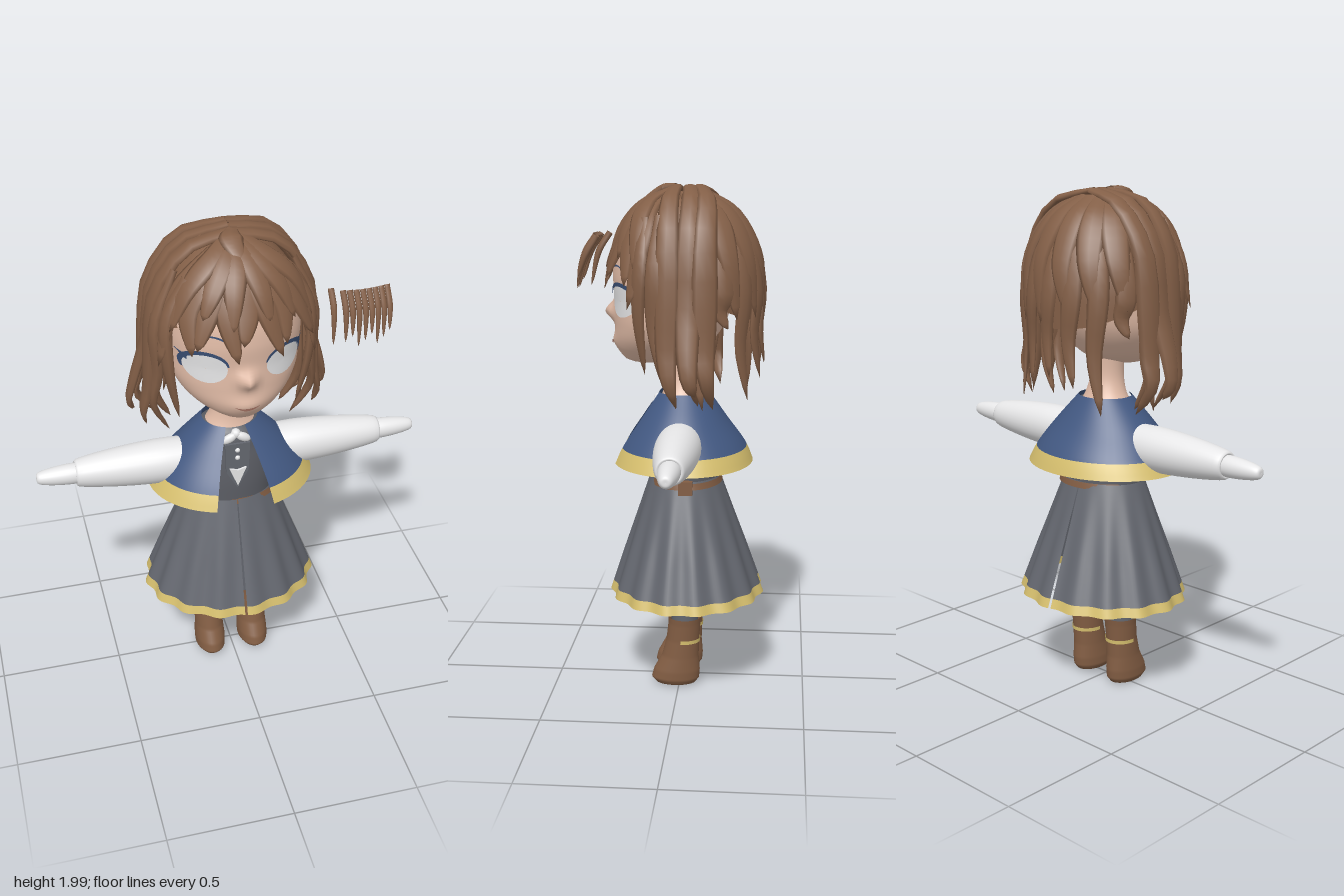
import * as THREE from 'three';
import { mergeVertices } from 'three/addons/utils/BufferGeometryUtils.js';
import { ParametricGeometry } from 'three/addons/geometries/ParametricGeometry.js';

const mat = (name, color, double = false) => {
  const m = new THREE.MeshStandardMaterial({ color, side: double ? THREE.DoubleSide : THREE.FrontSide });
  m.name = name;
  return m;
};
const V = (x, y, z) => new THREE.Vector3(x, y, z);

// Smooth grid surface, u x v pointing outward; seams are welded
function surface(fn, nu, nv) {
  let g = new ParametricGeometry((u, v, p) => p.copy(fn(u, v)), nu, nv);
  g.deleteAttribute('uv');
  g.deleteAttribute('normal');
  g = mergeVertices(g, 1e-5);
  g.computeVertexNormals();
  return g;
}

// Elliptical cross-sections [y, half width, front z, back z] blended into a body
function body(rows, smooth = true) {
  const Interp = smooth ? THREE.CubicInterpolant : THREE.LinearInterpolant;
  const it = new Interp(rows.map(r => r[0]), rows.flatMap(r => r.slice(1)), 3);
  const at = y => {
    const [rx, zf, zb] = it.evaluate(y);
    return { rx: Math.max(rx, 0), c: (zf + zb) / 2, rz: (zf - zb) / 2 };
  };
  const y0 = rows[0][0], y1 = rows[rows.length - 1][0];
  return {
    y0, y1,
    point(a, y, cx = 0, k = 1) {
      const s = at(y);
      return V(cx + s.rx * k * Math.sin(a), y, s.c + s.rz * k * Math.cos(a));
    },
    frontZ(x, y) {
      const s = at(y);
      return s.c + s.rz * Math.sqrt(Math.max(0, 1 - (x / s.rx) ** 2));
    },
    geometry({ a0 = 0, a1 = Math.PI * 2, from = y0, to = y1, cx = 0, nu = 36, nv = 16, pleat = () => 1 } = {}) {
      return surface((u, v) => {
        const a = a0 + (a1 - a0) * u, y = from + (to - from) * v;
        return this.point(a, y, cx, pleat(a, y));
      }, nu, nv);
    },
  };
}

// Tapered flat strand of hair following a few points; root is the width at its start
function lock(points, width, thick, root) {
  const curve = new THREE.CatmullRomCurve3(points);
  return surface((u, v) => {
    const p = curve.getPoint(v), T = curve.getTangent(v);
    const N = p.clone().sub(V(0, Math.min(p.y, 1.6), -0.02)).normalize();
    N.addScaledVector(T, -N.dot(T)).normalize();
    const B = N.clone().cross(T);
    const k = v < 0.45 ? root + (1 - root) * v / 0.45 : Math.sqrt(Math.max(0, 1 - ((v - 0.45) / 0.55) ** 2)) * (1.25 - 0.55 * v);
    const th = u * Math.PI * 2;
    return p.addScaledVector(B, Math.cos(th) * width * k).addScaledVector(N, Math.sin(th) * thick * k);
  }, 8, 14);
}

// Point on the hair dome: angle from the front in degrees, height, lift
function dome(deg, y, off = 0) {
  const a = THREE.MathUtils.degToRad(deg);
  const t = THREE.MathUtils.clamp((y - 1.58) / 0.4, 0, 1), k = Math.sqrt(1 - t * t);
  return V((0.305 + off) * k * Math.sin(a), y + off * t, -0.02 + (0.28 + off) * k * Math.cos(a));
}

export function createModel() {
  const model = new THREE.Group();
  model.name = 'girl';
  const skin = mat('skin', 0xe3bda8), hair = mat('hair brown', 0x835f47, true);
  const white = mat('white cloth', 0xe8e8e9, true), blue = mat('cape blue', 0x425881, true);
  const gold = mat('gold trim', 0xd6bf6e, true), grey = mat('skirt grey', 0x64676f, true);
  const dark = mat('bodice grey', 0x5d5f66, true), leather = mat('leather', 0x825d43, true);
  const lash = mat('lash blue', 0x3a4f74, true), lip = mat('lip', 0xa87565, true);
  const add = (name, geo, m, parent = model) => {
    const mesh = new THREE.Mesh(geo, m);
    mesh.name = name;
    parent.add(mesh);
    return mesh;
  };
  const TAU = Math.PI * 2;

  // Head with a small pointed nose
  const head = body([
    [1.3, 0.005, 0.14, 0.12], [1.312, 0.07, 0.2, 0.02], [1.34, 0.13, 0.235, -0.06], [1.39, 0.19, 0.255, -0.12],
    [1.46, 0.235, 0.257, -0.17], [1.55, 0.25, 0.257, -0.2], [1.65, 0.255, 0.265, -0.22], [1.75, 0.24, 0.25, -0.21],
    [1.85, 0.19, 0.19, -0.17], [1.92, 0.1, 0.1, -0.1], [1.94, 0.005, 0.01, 0]]);
  add('head', surface((u, v) => {
    const p = head.point(u * TAU, head.y0 + (head.y1 - head.y0) * v);
    if (p.z > 0) p.z += 0.042 * Math.exp(-((p.x / 0.03) ** 2) - ((p.y - 1.505) / 0.035) ** 2)
      + 0.012 * Math.exp(-((p.x / 0.06) ** 2) - ((p.y - 1.39) / 0.03) ** 2);
    return p;
  }, 64, 60), skin);
  add('neck', body([[1.15, 0.115, 0.085, -0.1], [1.2, 0.085, 0.07, -0.08], [1.26, 0.068, 0.065, -0.065], [1.4, 0.075, 0.07, -0.07]])
    .geometry(), skin);

  // Face details laid on the head surface
  const onFace = (name, fn, lift, m, nu = 20, nv = 4) => add(name, surface((u, v) => {
    const [x, y] = fn(u, v);
    return V(x, y, head.frontZ(x, y) + lift);
  }, nu, nv), m);
  for (const s of [1, -1]) {
    const ring = (a, r, rx, ry) => [s * (0.145 + r * rx * Math.cos(a)), 1.555 + r * ry * Math.sin(a)];
    onFace('eye', (u, v) => ring(u * TAU, Math.max(v, 0.01), 0.073, 0.06), 0.006, white, 28, 5);
    onFace('eyelash', (u, v) => ring(-0.3 + u * 3.2, 0.96 + v * 0.26 * Math.sin(0.35 + u * 2.5), 0.077, 0.06), 0.009, lash);
    onFace('lashFlick', (u, v) => [s * (0.205 + 0.037 * u), 1.575 + 0.03 * u + 0.022 * v * (1 - u)], 0.012, lash, 4, 2);
    onFace('eyebrow', (u, v) => [s * (0.08 + 0.09 * u), 1.672 + 0.015 * Math.sin(u * 3) + 0.009 * v * (1 - u * 0.6)], 0.006, lash);
  }
  onFace('mouth', (u, v) => {
    const x = (u - 0.5) * 0.1;
    return [x, 1.39 + x * x * 4 - 0.011 * v * Math.sin(u * Math.PI)];
  }, 0.016, lip);

  // Hair: dome, then layered strands
  const hairGroup = new THREE.Group();
  hairGroup.name = 'hair';
  model.add(hairGroup);
  const strand = (name, pts, w, t, root = 0.55) => add(name, lock(pts, w, t, root), hair, hairGroup);
  add('hairCap', surface((u, v) => {
    const y0 = 1.61 + 0.13 * Math.cos(u * TAU);
    return dome(u * 360, y0 + (1.98 - y0) * Math.sin(v * Math.PI / 2), -0.015);
  }, 40, 16), hair, hairGroup);
  [1.54, 1.62, 1.64, 1.6, 1.66, 1.6, 1.64, 1.62, 1.54].forEach((tip, i) => {
    const a = (i - 4) * 14;
    strand('bang', [dome(a * 0.6, 1.95), dome(a * 0.85, 1.87, 0.012), dome(a, 1.76, 0.022), dome(a + (i % 2 ? 7 : -4), tip, 0.045)], 0.054, 0.016);
  });
  for (const [a, tip] of [[-46, 1.68], [-26, 1.74], [-9, 1.7], [13, 1.72], [30, 1.71], [48, 1.67]])
    strand('upperBang', [dome(a * 0.4, 1.97, 0.005), dome(a * 0.75, 1.91, 0.018), dome(a, 1.82, 0.03), dome(a * 1.15, tip, 0.035)], 0.046, 0.013);
  strand('crownLock', [V(0, 1.985, 0.02), dome(-8, 1.96, 0.015), dome(4, 1.89, 0.025)], 0.045, 0.016);
  for (const s of [1, -1]) {
    const side = (name, pts, w, t = 0.02) => strand(name, pts.map(([x, y, z]) => V(s * x, y, z)), w, t);
    side('templeLock', [[0.19, 1.87, 0.12], [0.265, 1.72, 0.13], [0.265, 1.52, 0.14], [0.225, 1.29, 0.12]], 0.034);
    side('cheekLock', [[0.22, 1.88, 0.06], [0.3, 1.68, 0.08], [0.295, 1.48, 0.07], [0.31, 1.32, 0.04], [0.24, 1.16, 0]], 0.04);
    // each row: z, outward flare, tip x, tip y
    [[0.03, 0.345, 0.33, 1.2], [-0.05, 0.385, 0.36, 1.23], [-0.11, 0.345, 0.28, 1.17]].forEach(([z, f, x, y]) =>
      side('sideLock', [[0, 1.98, z * 0.7], [0.17, 1.935, z], [0.285, 1.78, z], [0.315, 1.55, z], [f - 0.02, 1.38, z], [f, 1.28, z - 0.01], [x, y, z - 0.03]], 0.05, 0.02));
    side('innerLock', [[0.28, 1.7, -0.04], [0.28, 1.5, -0.05], [0.28, 1.3, -0.06], [0.22, 1.17, -0.08]], 0.035);
  }
  [1.17, 1.47, 1.19, 1.26, 1.3, 1.27, 1.17, 1.46, 1.18].forEach((tip, j) => {
    const i = j - 4, a = 180 + i * 19;
    strand('backLock', [dome(180 + i * 17, 1.93), dome(a, 1.78, 0.01), dome(a, 1.6, 0.015), dome(a - 3, (1.6 + tip) / 2, 0.008), dome(a + 2, tip, 0.025)], 0.042, 0.017);
  });
  for (let i = -3.5; i <= 3.5; i++) {
    const a = 180 + i * 21;
    strand('backLayer', [dome(180 + i * 24, 1.96), dome(a, 1.88, 0.012), dome(a, 1.72, 0.022), dome(a + 5, 1.5 + (i % 2 > 0 ? 0.06 : 0), 0.025)], 0.054, 0.015);
  }

  // Loose row of small strands beside the head
  for (let i = 0; i < 9; i++) {
    const x = i ? 0.318 + 0.0235 * i : 0.305, y = 1.635 + (i % 3) * 0.022, z = i ? 0.012 * Math.sin(i * 0.4) : -0.02;
    strand('looseStrand', [V(x, 1.825, 0.255 + z), V(x + 0.002, 1.76, 0.295 + z), V(x - 0.004, y, 0.325 + z)], 0.0135, 0.011, 0.95);
  }

  // Bodice, shirt front and belt
  const torso = body([[0.84, 0.172, 0.115, -0.15], [0.95, 0.175, 0.12, -0.145], [1.08, 0.16, 0.11, -0.125], [1.17, 0.12, 0.09, -0.1], [1.19, 0.07, 0.06, -0.07]]);
  add('bodice', torso.geometry(), dark);
  const plate = (name, pts, z, m) => {
    const g = new THREE.ExtrudeGeometry(new THREE.Shape(pts.map(p => new THREE.Vector2(...p))), { depth: 0.009, bevelEnabled: false });
    return add(name, g.translate(0, 0, z), m);
  };
  plate('lapel', [[-0.05, 1.13], [-0.045, 1.0], [0, 0.92], [0.045, 1.0], [0.05, 1.13]], 0.112, grey);
  plate('cravatTail', [[-0.034, 1.02], [0, 0.935], [0.034, 1.02], [0, 1.01]], 0.121, white);
  for (const s of [1, -1])
    add('cravatRuffle', new THREE.SphereGeometry(0.03, 14, 10).scale(1.15, 0.6, 0.5).rotateZ(s * -0.5).translate(s * 0.027, 1.145, 0.098), white);
  add('cravatKnot', new THREE.SphereGeometry(0.02, 12, 8).translate(0, 1.16, 0.09), white);
  for (const y of [1.1, 1.065]) add('button', new THREE.SphereGeometry(0.011, 10, 8).translate(0, y, 0.118), white);
  add('belt', body([[0.836, 0.187, 0.122, -0.166], [0.86, 0.18, 0.116, -0.16]]).geometry({ nv: 1 }), leather).rotation.z = -0.015;
  add('pouch', new THREE.BoxGeometry(0.025, 0.055, 0.055).translate(0.187, 0.84, -0.03), leather);

  // Open cape with gold hem
  const cape = body([[0.915, 0.332, 0.268, -0.285], [0.975, 0.297, 0.24, -0.26], [1.08, 0.215, 0.168, -0.185], [1.19, 0.11, 0.09, -0.11]]);
  const open = { a0: 0.35, a1: TAU - 0.35, nu: 48 };
  add('cape', cape.geometry({ ...open, from: 0.975 }), blue);
  add('capeTrim', cape.geometry({ ...open, to: 0.975, nv: 3 }), gold);

  // Pleated skirt halves, split at front and back
  const skirt = body([[0.377, 0.352, 0.278, -0.328], [0.86, 0.176, 0.122, -0.155]], false);
  const pleat = (a, y) => 1 + 0.025 * Math.sin(a * 15) * Math.min(1, (0.86 - y) / 0.3);
  for (const a0 of [0.014, Math.PI + 0.014]) {
    const half = { a0, a1: a0 + Math.PI - 0.028, nu: 90, pleat };
    add('skirt', skirt.geometry({ ...half, from: 0.413 }), grey);
    add('skirtTrim', skirt.geometry({ ...half, to: 0.413, nv: 2 }), gold);
  }

  // Arms, legs and boots in mirrored pairs
  const lathe = pts => new THREE.LatheGeometry(new THREE.SplineCurve(pts.map(p => new THREE.Vector2(...p))).getPoints(24), 32);
  const leg = body([[0.25, 0.06, 0.03, -0.075], [0.5, 0.065, 0.045, -0.08], [0.84, 0.078, 0.06, -0.09]]);
  const boot = body([[0, 0.004, 0.02, 0.01], [0.006, 0.052, 0.095, -0.065], [0.025, 0.063, 0.112, -0.08], [0.06, 0.064, 0.103, -0.083],
    [0.12, 0.06, 0.07, -0.078], [0.19, 0.059, 0.052, -0.08], [0.26, 0.063, 0.044, -0.085], [0.285, 0.066, 0.044, -0.088]], false);
  for (const s of [1, -1]) {
    const turn = g => g.rotateZ(-s * Math.PI / 2).translate(0, 1.012, -0.008);
    add('sleeve', turn(lathe([[0.001, 0.12], [0.075, 0.14], [0.088, 0.24], [0.085, 0.36], [0.072, 0.5], [0.054, 0.61], [0.035, 0.612]])), white);
    add('hand', turn(lathe([[0.04, 0.59], [0.041, 0.64], [0.036, 0.7], [0.027, 0.75], [0.017, 0.768], [0.001, 0.77]])), white);
    const cx = s * 0.095;
    add('leg', leg.geometry({ cx }), grey);
    add('boot', boot.geometry({ cx, nv: 46 }), leather);
    add('bootStrap', boot.geometry({ cx, a0: 1.5, a1: TAU - 1.5, from: 0.183, to: 0.198, nv: 2, pleat: () => 1.06 }), gold);
  }
  return model;
}
